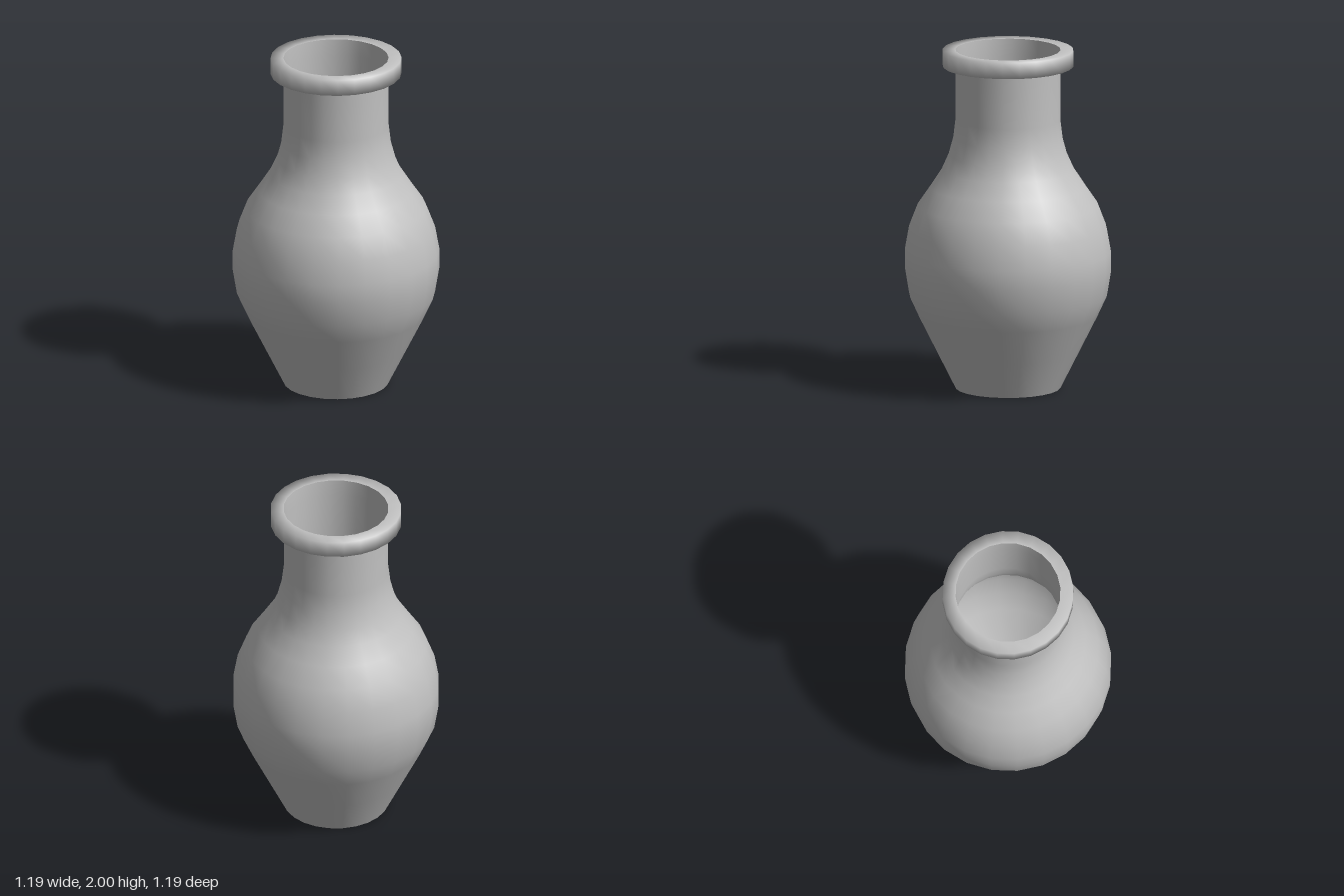
import * as THREE from 'three';

const SIDES = 24;

export function createModel() {
  const vase = new THREE.Group();
  vase.name = 'vase';

  const clay = new THREE.MeshStandardMaterial({ color: 0xc0c0c0 });
  clay.name = 'grey clay';

  // Turns a [radius, height] profile around the vertical axis
  const turn = (name, profile) => {
    const points = profile.map(([r, y]) => new THREE.Vector2(r, y));
    const mesh = new THREE.Mesh(new THREE.LatheGeometry(points, SIDES, Math.PI / SIDES), clay);
    mesh.name = name;
    vase.add(mesh);
  };

  // Underside
  turn('base', [[0, 0], [0.305, 0]]);

  // Outer wall, from foot through belly to neck
  turn('body', [
    [0.305, 0], [0.415, 0.22], [0.52, 0.43], [0.575, 0.55], [0.6, 0.7], [0.6, 0.81],
    [0.575, 0.95], [0.525, 1.08], [0.45, 1.19], [0.385, 1.29], [0.345, 1.38],
    [0.318, 1.48], [0.305, 1.59], [0.305, 1.905],
  ]);

  // Flat collar with softly shaded edges
  turn('rim', [[0.305, 1.905], [0.38, 1.905], [0.38, 2], [0.305, 2]]);

  // Inner wall, from the mouth down to the floor
  turn('interior', [
    [0.305, 2], [0.3, 1.905], [0.3, 1.59], [0.31, 1.48], [0.335, 1.38], [0.37, 1.29],
    [0.43, 1.19], [0.495, 1.08], [0.54, 0.95], [0.56, 0.81], [0.56, 0.7],
    [0.53, 0.55], [0.47, 0.43], [0.36, 0.25], [0.23, 0.05],
  ]);
  turn('floor', [[0.23, 0.05], [0, 0.05]]);

  return vase;
}
